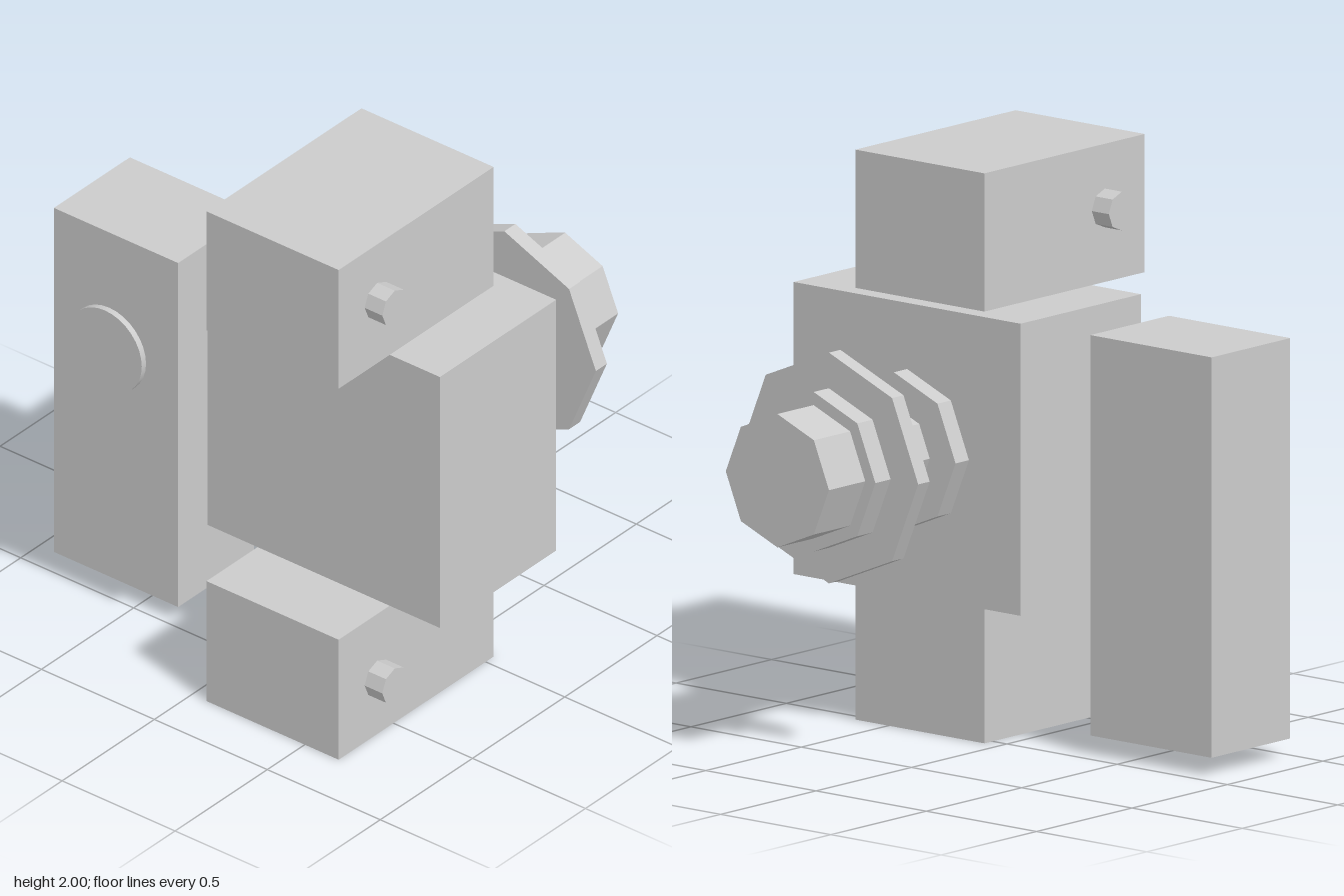
import * as THREE from 'three';

const grey = new THREE.MeshStandardMaterial({ color: 0xcccccc, flatShading: true });
const smooth = new THREE.MeshStandardMaterial({ color: 0xcccccc });

// Box given by its lower and upper limits on each axis
function box(name, [x0, x1], [y0, y1], [z0, z1]) {
  const mesh = new THREE.Mesh(new THREE.BoxGeometry(x1 - x0, y1 - y0, z1 - z0), grey);
  mesh.position.set((x0 + x1) / 2, (y0 + y1) / 2, (z0 + z1) / 2);
  mesh.name = name;
  return mesh;
}

// Cylinder lying along x, from x0 to x1
function barX(name, x0, x1, radius, y, z, sides = 8, material = grey) {
  const geometry = new THREE.CylinderGeometry(radius, radius, x1 - x0, sides).rotateZ(-Math.PI / 2);
  const mesh = new THREE.Mesh(geometry, material);
  mesh.position.set((x0 + x1) / 2, y, z);
  mesh.name = name;
  return mesh;
}

export function createModel() {
  const model = new THREE.Group();

  // Main housing
  model.add(box('housing', [-0.52, 0.11], [0.49, 1.515], [-0.157, 0.872]));

  // End blocks, each with an octagonal pin through it
  const ends = [['lower', 0, 0.49, 0.232], ['upper', 1.515, 2, 1.775]];
  for (const [side, y0, y1, pinY] of ends) {
    model.add(box(side + 'EndBlock', [-0.797, 0.043], [y0, y1], [0.065, 0.65]));
    const pin = new THREE.Mesh(new THREE.CylinderGeometry(0.068, 0.068, 0.74, 8).rotateX(Math.PI / 2), grey);
    pin.position.set(-0.588, pinY, 0.358);
    pin.name = side + 'Pin';
    model.add(pin);
  }

  // Stepped octagonal knob
  const knob = new THREE.Group();
  knob.name = 'knob';
  const steps = [
    ['knobBase', 0.11, 0.18, 0.28],
    ['knobShaft', 0.18, 0.46, 0.163],
    ['knobFlange', 0.46, 0.52, 0.405],
    ['knobCollar', 0.52, 0.6, 0.28],
    ['knobTip', 0.6, 0.79, 0.234],
  ];
  for (const [name, x0, x1, radius] of steps) knob.add(barX(name, x0, x1, radius, 1.003, 0.357));
  model.add(knob);

  // Separate keeper block with a round disc on its outer side
  model.add(box('keeperBlock', [-0.477, -0.065], [0.065, 1.47], [-0.872, -0.322]));
  model.add(barX('keeperDisc', -0.5, -0.47, 0.163, 1.0, -0.627, 32, smooth));

  return model;
}
